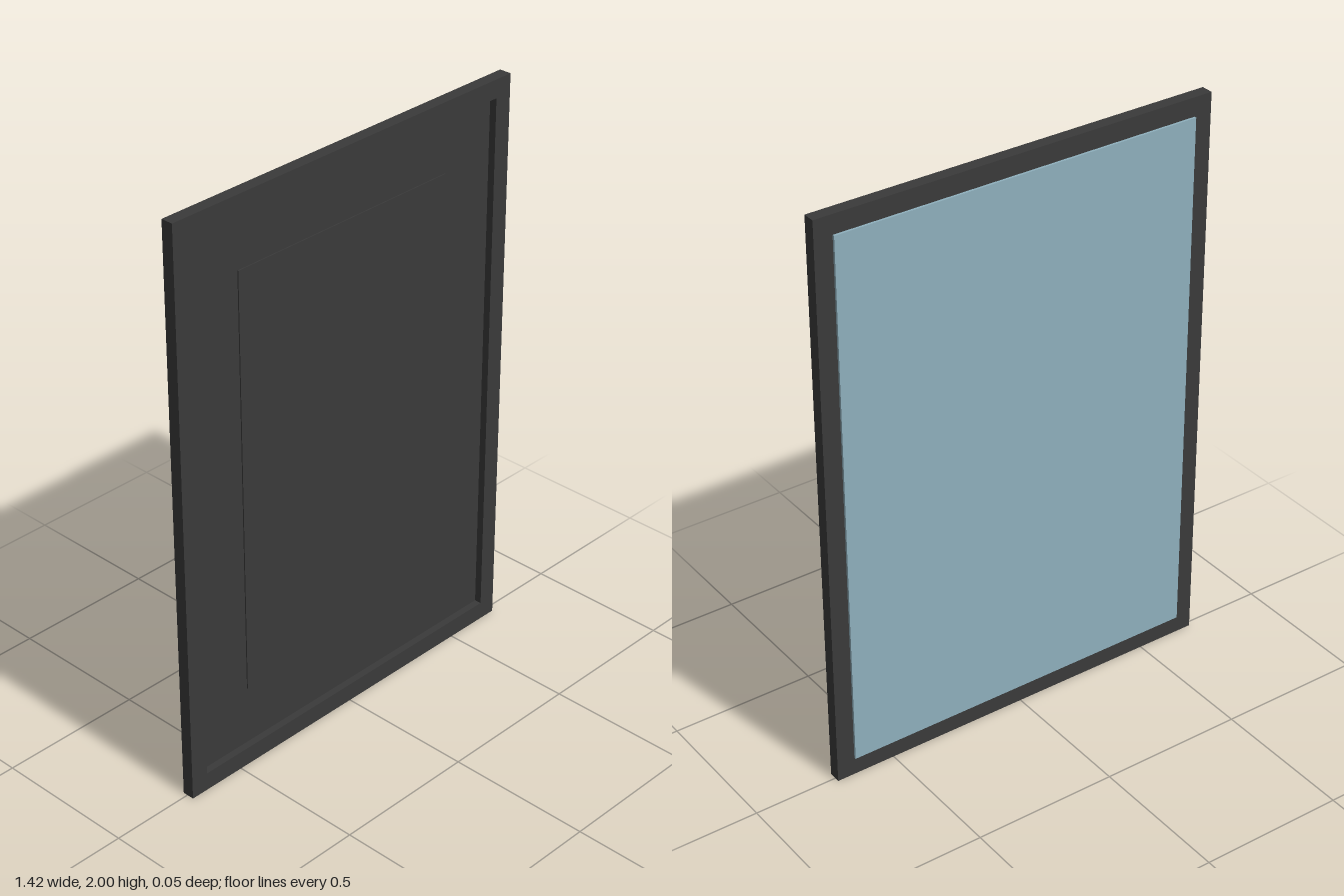
import * as THREE from 'three';

const W = 1.42, H = 2, RAIL = 0.063;
const FRONT = 0.025, BACK = -0.017, PANEL_BACK = -0.025;

const dark = new THREE.MeshStandardMaterial({ color: 0x3a3a3a });
const blue = new THREE.MeshStandardMaterial({ color: 0x8fb0bd });

// Flat slab between two depths, centred on x and at height cy
function slab(name, w, h, z0, z1, material, cy = H / 2) {
  const mesh = new THREE.Mesh(new THREE.BoxGeometry(w, h, z1 - z0), material);
  mesh.name = name;
  mesh.position.set(0, cy, (z0 + z1) / 2);
  return mesh;
}

// Mitred rail: a trapezoid whose long edge lies on the outside of the frame
function rail(name, length, angle, offset) {
  const a = length / 2, b = a - RAIL;
  const shape = new THREE.Shape([
    new THREE.Vector2(-b, -RAIL), new THREE.Vector2(b, -RAIL),
    new THREE.Vector2(a, 0), new THREE.Vector2(-a, 0),
  ]);
  const geometry = new THREE.ExtrudeGeometry(shape, { depth: FRONT - BACK, bevelEnabled: false });
  geometry.translate(0, offset, BACK);
  geometry.rotateZ(angle);
  const mesh = new THREE.Mesh(geometry, dark);
  mesh.name = name;
  mesh.position.y = H / 2;
  return mesh;
}

export function createModel() {
  const model = new THREE.Group();
  model.name = 'pictureFrame';

  // Outer frame
  const frame = new THREE.Group();
  frame.name = 'frame';
  ['topRail', 'rightRail', 'bottomRail', 'leftRail'].forEach((name, i) => {
    const upright = i % 2 === 1;
    frame.add(rail(name, upright ? H : W, i * Math.PI / 2, (upright ? W : H) / 2));
  });
  model.add(frame);

  // Recessed mat, with the picture standing slightly proud of it
  const w = W - 2 * RAIL, h = H - 2 * RAIL;
  model.add(slab('mat', w, h, BACK, 0, dark));
  model.add(slab('picture', 0.885, 1.475, -0.005, 0.004, dark, 1.008));

  // Backing board behind the frame
  model.add(slab('backingBoard', w, h - 0.004, PANEL_BACK, BACK, blue));

  return model;
}
